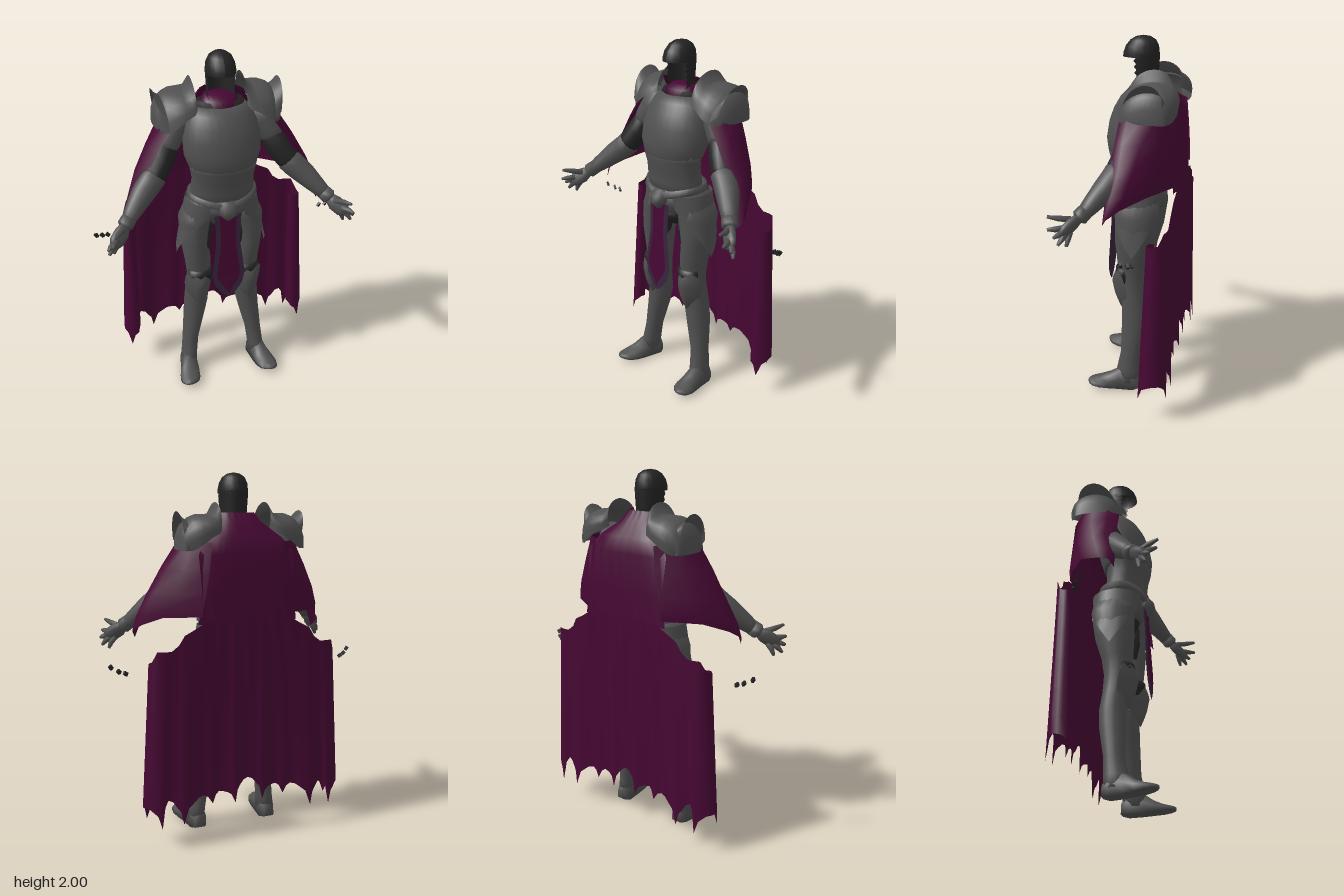
import * as THREE from 'three';

const mat = (name, color) => {
  const m = new THREE.MeshStandardMaterial({ color, side: THREE.DoubleSide });
  m.name = name;
  return m;
};
const V = (x, y, z) => new THREE.Vector3(x, y, z);

export function createModel() {
  const model = new THREE.Group();
  model.name = 'cloakedKnight';
  const steel = mat('steel', 0x505050);
  const suit = mat('dark suit', 0x232323);
  const cloth = mat('purple cloth', 0x460733);
  const trim = mat('cloth trim', 0x38243c);

  // Skin a grid of points; closed joins the last column to the first
  function surf(name, m, rows, closed = false) {
    const n = rows[0].length, pos = [], idx = [];
    rows.forEach(r => r.forEach(p => pos.push(p.x, p.y, p.z)));
    for (let i = 0; i < rows.length - 1; i++) {
      for (let j = 0; j < (closed ? n : n - 1); j++) {
        const k = (j + 1) % n, a = i * n + j, b = i * n + k, c = a + n, d = b + n;
        idx.push(a, c, b, b, c, d);
      }
    }
    const g = new THREE.BufferGeometry();
    g.setAttribute('position', new THREE.Float32BufferAttribute(pos, 3));
    g.setIndex(idx);
    g.computeVertexNormals();
    const mesh = new THREE.Mesh(g, m);
    mesh.name = name;
    model.add(mesh);
  }
  // The same grid on the left and, reflected, on the right
  function pair(name, m, rows, closed) {
    surf('left' + name, m, rows, closed);
    surf('right' + name, m, rows.map(r => r.map(p => V(-p.x, p.y, p.z)).reverse()), closed);
  }
  const capped = rows => {
    const mid = r => {
      const c = r.reduce((s, p) => s.add(p), V(0, 0, 0)).divideScalar(r.length);
      return r.map(() => c.clone());
    };
    return [mid(rows[0]), ...rows, mid(rows[rows.length - 1])];
  };
  // Horizontal rings: [y, centre x, half width, front z, back z]
  const rings = (list, n = 20) => capped(list.map(([y, cx, rx, zf, zb]) =>
    Array.from({ length: n }, (_, i) => {
      const a = -i / n * Math.PI * 2;
      return V(cx + rx * Math.cos(a), y, (zf + zb) / 2 + (zf - zb) / 2 * Math.sin(a));
    })));
  // Rings across a bent path: [x, y, z, radius, flattening]
  const limb = (list, n = 12) => {
    const pts = list.map(p => V(p[0], p[1], p[2]));
    return capped(list.map(([, , , r, f = 1], i) => {
      const t = pts[Math.min(i + 1, pts.length - 1)].clone().sub(pts[Math.max(i - 1, 0)]).normalize();
      const s = V(0, 0, 1).cross(t).normalize(), u = t.clone().cross(s);
      return Array.from({ length: n }, (_, j) => {
        const a = j / n * Math.PI * 2;
        return pts[i].clone().addScaledVector(s, r * Math.cos(a)).addScaledVector(u, r * f * Math.sin(a));
      });
    }));
  };

  // Cuirass: breastplate over a lightly banded waist
  surf('waistPlate', steel, rings([[1.16, 0, .185, .1, -.15], [1.24, 0, .18, .105, -.13],
    [1.32, 0, .175, .115, -.12], [1.375, 0, .185, .13, -.12], [1.42, 0, .195, .13, -.13]]), true);
  surf('breastPlate', steel, rings([[1.375, 0, .175, .12, -.13], [1.395, 0, .19, .134, -.14], [1.46, 0, .213, .14, -.16],
    [1.55, 0, .215, .125, -.18], [1.62, 0, .2, .1, -.19], [1.68, 0, .175, .065, -.19], [1.715, 0, .14, .03, -.17]], 28), true);
  surf('collarSuit', suit, rings([[1.68, 0, .145, .055, -.16], [1.735, 0, .13, .005, -.15]]), true);
  surf('neckScarf', cloth, rings([[1.7, 0, .1, .042, -.15], [1.742, 0, .1, .008, -.15], [1.765, 0, .08, -.04, -.14]]), true);

  // Pelvis, belt and codpiece
  surf('pelvis', steel, rings([[1.2, 0, .19, .105, -.17], [1.12, 0, .19, .1, -.18], [1.06, 0, .15, .07, -.17]]), true);
  const belt = rings([[1.23, 0, .18, .1, -.15], [1.235, 0, .195, .12, -.165],
    [1.2, 0, .2, .128, -.175], [1.19, 0, .185, .11, -.16]], 32);
  belt.forEach(r => r.forEach(p => { if (p.z > 0) p.y -= .05 * Math.max(0, 1 - Math.abs(p.x) / .19); }));
  surf('belt', steel, belt, true);
  surf('codpiece', steel, rings([[1.2, 0, .04, .125, .06], [1.17, 0, .055, .152, .06],
    [1.13, 0, .05, .16, .06], [1.09, 0, .015, .12, .06]]), true);
  surf('groinSuit', suit, rings([[1.1, 0, .1, .08, -.15], [1.02, 0, .09, .05, -.13], [.97, 0, .04, .01, -.1]]), true);

  // Front cloth with trim around an inner panel
  const tabard = [[1.12, .078], [1.02, .07], [.94, .07], [.84, .084], [.74, .096], [.67, .08], [.62, .045], [.585, .002]];
  const panel = (inset, lift) => tabard.map(([y, w], i) => [-1, 0, 1].map(k =>
    V(k * Math.max(w - inset, .001), y + (i > 4 ? inset : 0), .105 + (1.12 - y) * .045 + lift)));
  surf('tabardTrim', trim, panel(0, 0));
  surf('tabardPanel', cloth, panel(.027, .006));

  // Legs, knees and boots
  pair('Leg', steel, rings([[1.16, .1, .095, .08, -.17], [1.05, .148, .097, .07, -.175], [.9, .16, .078, .07, -.15],
    [.78, .145, .076, .06, -.115], [.68, .14, .07, .05, -.1], [.58, .15, .07, .035, -.105], [.48, .157, .07, .03, -.12],
    [.38, .172, .062, .03, -.115], [.22, .2, .048, .03, -.085], [.12, .212, .047, .05, -.08], [.05, .22, .05, .07, -.08]]), true);
  pair('InnerThigh', suit, rings([[1.06, .095, .035, .05, -.11], [.96, .098, .03, .05, -.1], [.87, .095, .016, .03, -.07]], 10), true);
  pair('KneeSuit', suit, rings([[.735, .142, .068, .067, -.03], [.7, .142, .072, .07, -.03], [.65, .142, .064, .055, -.03]]), true);
  const knee = [[.725, .05, .075, .045], [.7, .077, .085, .015], [.64, .082, .09, -.005], [.57, .07, .075, -.01], [.53, .042, .06, .01], [.485, .004, .04, .035]];
  pair('KneeGuard', steel, knee.map(([y, w, zf, zs], i) => [-1, -.8, -.4, 0, .4, .8, 1].map(k =>
    V(.15 + k * w, y - (i < 2 ? .03 * (1 - Math.abs(k)) : 0), zs + (zf - zs) * (1 - k * k)))));
  // Boot sections along the foot: [z, centre x, half width, sole y, top y]
  const boot = [[-.082, .215, .03, .01, .08], [-.05, .215, .048, .004, .13], [.03, .225, .052, .01, .13],
    [.09, .235, .06, .018, .09], [.14, .244, .062, .024, .07], [.18, .25, .052, .03, .06], [.2, .254, .034, .034, .055], [.21, .257, .012, .036, .05]];
  pair('Boot', steel, capped(boot.map(([z, cx, w, lo, hi]) => [[-1, 0], [-.95, .5], [-.55, .88], [0, 1], [.55, .88], [.95, .5], [1, 0]]
    .map(([a, b]) => V(cx + a * w, lo + b * (hi - lo), z)))), true);

  // Pointed hip plates wrapping the thighs
  pair('HipPlate', steel, [0, .35, .7, 1].map(t => Array.from({ length: 13 }, (_, i) => {
    const k = i / 6 - 1, a = k * 1.35, out = .145 + .06 * t;
    return V(.06 + out * Math.cos(a), 1.18 - t * (.08 + .27 * (1 - Math.abs(k))), -.045 - (.145 - .01 * t) * Math.sin(a));
  })));

  // Arms
  pair('UpperArm', steel, limb([[.2, 1.66, -.11, .075], [.25, 1.59, -.09, .08], [.29, 1.52, -.07, .073], [.31, 1.485, -.06, .066]]), true);
  pair('ElbowSuit', suit, limb([[.295, 1.505, -.067, .058], [.302, 1.49, -.063, .071], [.335, 1.43, -.035, .072], [.375, 1.37, -.005, .067], [.39, 1.345, .01, .06]]), true);
  pair('Forearm', steel, limb([[.372, 1.37, -.004, .055], [.38, 1.36, 0, .068], [.41, 1.33, .015, .068], [.46, 1.285, .05, .063],
    [.53, 1.215, .11, .046], [.565, 1.18, .14, .036]]), true);
  pair('Cuff', steel, limb([[.55, 1.195, .128, .042], [.575, 1.172, .15, .043], [.582, 1.165, .156, .03]]), true);
  pair('Palm', steel, limb([[.575, 1.172, .15, .028, .8], [.6, 1.145, .18, .044, .65], [.635, 1.115, .21, .043, .6], [.652, 1.1, .225, .028, .55]]), true);
  const fingers = [[.595, 1.165, .19, .645, 1.19, .295], [.63, 1.13, .22, .665, 1.13, .292], [.64, 1.115, .215, .685, 1.095, .255],
    [.635, 1.105, .205, .68, 1.055, .235], [.615, 1.105, .19, .65, 1.04, .2]];
  fingers.forEach(([x, y, z, X, Y, Z], i) => pair('Finger' + (i + 1), steel, limb([[x, y, z, .017],
    [(x + X) / 2 + .006, (y + Y) / 2, (z + Z) / 2, .015], [X, Y, Z, .008]], 7), true));

  // Pauldrons as arches: [bottom x, top x, top y, bottom y, front z, back z]
  const arch = ([xb, xt, yt, yb, zf, zb]) => Array.from({ length: 15 }, (_, i) => {
    const a = i / 14 * Math.PI, h = Math.pow(Math.sin(a), .8);
    return V(xb + (xt - xb) * h, yb + (yt - yb) * h, (zf + zb) / 2 + (zf - zb) / 2 * Math.cos(a) - .03 * h);
  });
  pair('Pauldron', steel, [[.135, .142, 1.845, 1.71, .0, -.23], [.15, .165, 1.79, 1.69, .02, -.265], [.2, .2, 1.785, 1.67, .035, -.28],
    [.25, .25, 1.785, 1.635, .04, -.28], [.285, .29, 1.77, 1.61, .025, -.265], [.305, .325, 1.74, 1.6, .01, -.25],
    [.315, .35, 1.68, 1.6, -.005, -.235], [.315, .352, 1.6, 1.6, -.005, -.235]].map(arch));
  pair('PauldronRim', steel, [[.29, .3, 1.75, 1.62, .02, -.24], [.315, .335, 1.775, 1.64, .01, -.22], [.33, .352, 1.8, 1.65, -.005, -.21]].map(arch));

  // Open-faced hood: a beaked cap over a ragged rear shell
  const arc = (y, rx, zf, zb, half) => Array.from({ length: 21 }, (_, i) => {
    const a = Math.PI / 2 + (i / 10 - 1) * half - Math.PI;
    return V(rx * Math.cos(a), y, (zf + zb) / 2 + (zf - zb) / 2 * Math.sin(a));
  });
  surf('hoodCap', suit, [[2, .002, -.05, -.06], [1.993, .035, -.015, -.095], [1.975, .06, .015, -.122], [1.945, .075, .04, -.138],
    [1.91, .08, .053, -.142], [1.89, .08, .055, -.143]].map(([y, rx, f, b]) => arc(y, rx, f, b, Math.PI)));
  surf('hoodBack', suit, Array.from({ length: 11 }, (_, i) =>
    arc(1.905 - i * .0155, .08 - .001 * i, .045, -.143 + .0008 * i, 1.95 - (i % 2) * .14 - i * .015)));

  // Upper cape from the collar to the waist: [y, half width, middle z, edge z]
  const upper = [[1.79, .125, -.15, -.04], [1.74, .15, -.19, -.08], [1.66, .22, -.25, -.2], [1.58, .27, -.27, -.25],
    [1.4, .26, -.28, -.27], [1.22, .28, -.285, -.27]];
  surf('upperCape', cloth, upper.map(([y, w, zm, ze]) => Array.from({ length: 17 }, (_, i) => {
    const k = i / 8 - 1;
    return V(k * w, y, zm + (ze - zm) * k * k * k * k + (i % 2) * .006);
  })));

  // Cape wings draped over the arms, front edge to back edge
  pair('CapeWing', cloth, [
    [V(.27, 1.63, .01), V(.32, 1.64, -.04), V(.325, 1.64, -.13), V(.3, 1.64, -.2), V(.2, 1.64, -.265)],
    [V(.36, 1.5, .02), V(.405, 1.51, -.03), V(.4, 1.5, -.12), V(.34, 1.5, -.21), V(.22, 1.5, -.275)],
    [V(.44, 1.36, .03), V(.49, 1.36, -.02), V(.47, 1.37, -.09), V(.39, 1.37, -.2), V(.24, 1.38, -.28)],
    [V(.5, 1.22, .04), V(.54, 1.24, .01), V(.51, 1.27, -.06), V(.42, 1.3, -.18), V(.26, 1.29, -.28)],
    [V(.54, 1.12, .045), V(.56, 1.16, .02), V(.52, 1.2, -.04), V(.44, 1.25, -.16), V(.26, 1.26, -.28)]]);

  // Lower cape columns with torn hem and curled edge: [top x, top z, top y, hem x, hem z, hem y]
  const hem = [[0, -.285, 1.24, 0, -.27, .35], [.05, -.28, 1.24, .05, -.275, .31], [.08, -.285, 1.24, .08, -.29, .22],
    [.11, -.28, 1.24, .12, -.275, .28], [.16, -.285, 1.24, .17, -.265, .29], [.2, -.28, 1.24, .21, -.28, .23],
    [.25, -.285, 1.23, .26, -.27, .28], [.3, -.28, 1.2, .32, -.285, .25], [.36, -.28, 1.17, .38, -.295, .14],
    [.39, -.275, 1.12, .41, -.28, .23], [.43, -.275, 1.09, .46, -.27, .28], [.47, -.275, 1.09, .5, -.29, .13],
    [.505, -.265, 1.09, .54, -.27, .22], [.53, -.24, 1.03, .575, -.24, .24], [.535, -.2, 1.02, .58, -.19, .23],
    [.51, -.175, 1.02, .545, -.14, .14], [.48, -.185, 1.02, .5, -.14, .22], [.47, -.21, 1.02, .48, -.19, .24]];
  // Extra columns between these round the torn hem into hooked scallops
  const columns = hem.flatMap((p, i) => {
    if (i === hem.length - 1) return [p];
    const q = hem[i + 1], m = p.map((v, j) => (v + q[j]) / 2);
    m[5] += Math.abs(p[5] - q[5]) * .28;
    return [p, m];
  });
  pair('LowerCape', cloth, [0, .12, .3, .5, .7, .88, 1].map(t => columns.map(([x, z, y, X, Z, Y]) =>
    V(x + (X - x) * t, y + (Y - y) * t, z + (Z - z) * t))));

  // Loose fragments beside the hands
  [[.64, .962, -.13], [.672, .972, -.115], [.708, .992, -.088]].forEach(([x, y, z], i) => [1, -1].forEach(s => {
    const bit = new THREE.Mesh(new THREE.BoxGeometry(.024, .02, .013), suit);
    bit.name = (s > 0 ? 'left' : 'right') + 'Fragment' + (i + 1);
    bit.position.set(s * x, y, z);
    bit.rotation.set(.3, s * .5, s * (.5 + i * .2));
    model.add(bit);
  }));
  return model;
}
